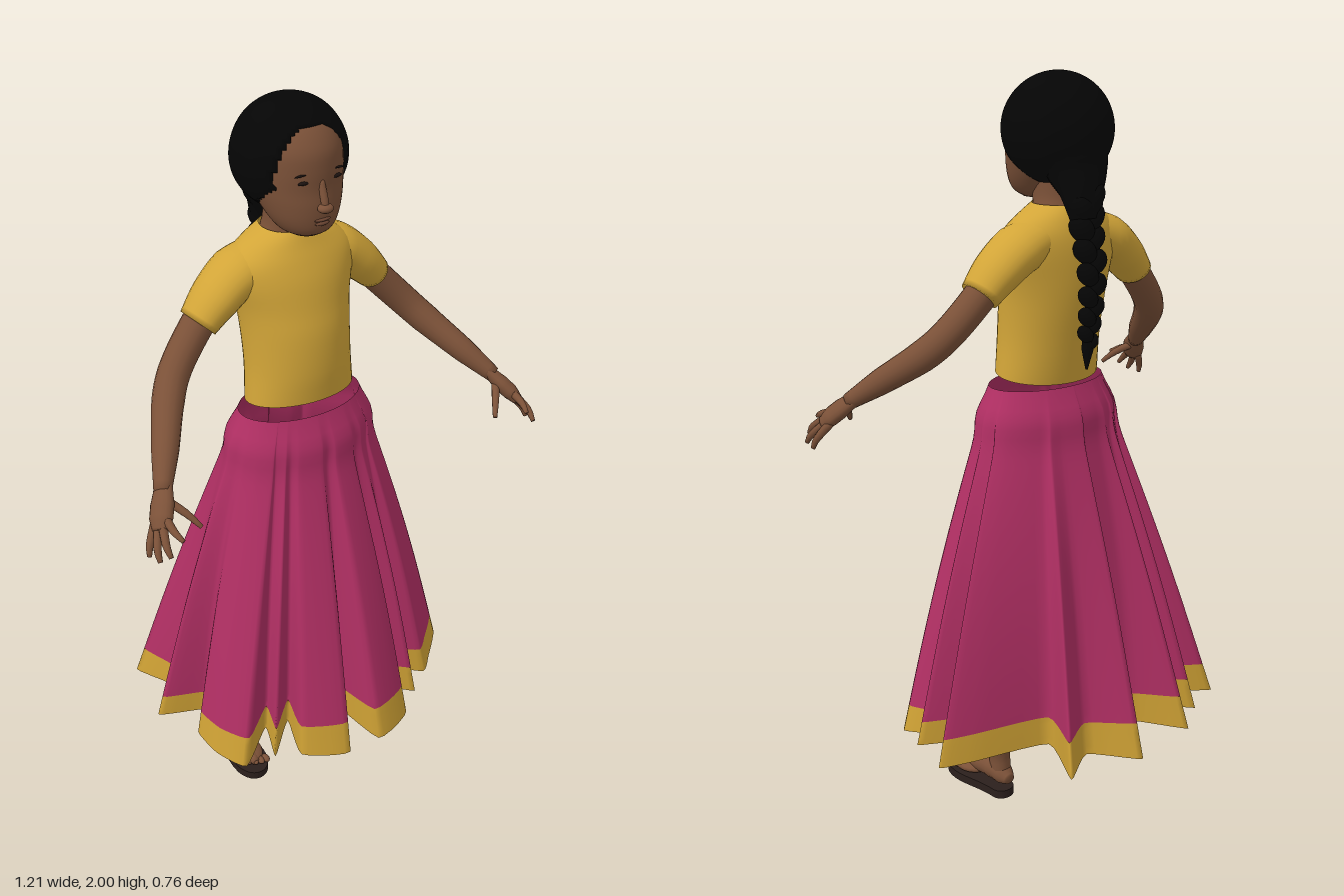
import * as THREE from 'three';

const mat = (name, color, double) => {
  const m = new THREE.MeshStandardMaterial({ color });
  m.name = name;
  if (double) m.side = THREE.DoubleSide;
  return m;
};
const V = (x, y, z) => new THREE.Vector3(x, y, z);

// Skin a stack of closed rings; rings run upward and turn from +x to +z.
function loft(rings, capStart, capEnd) {
  const n = rings[0].length, pos = [], idx = [];
  rings.forEach(r => r.forEach(p => pos.push(p.x, p.y, p.z)));
  for (let i = 0; i < rings.length - 1; i++) {
    for (let j = 0; j < n; j++) {
      const a = i * n + j, b = i * n + (j + 1) % n;
      idx.push(a, a + n, b, a + n, b + n, b);
    }
  }
  const cap = (i, flip) => {
    const c = V(0, 0, 0);
    rings[i].forEach(p => c.addScaledVector(p, 1 / n));
    const k = pos.length / 3;
    pos.push(c.x, c.y, c.z);
    for (let j = 0; j < n; j++) {
      const a = i * n + j, b = i * n + (j + 1) % n;
      if (flip) idx.push(k, a, b); else idx.push(k, b, a);
    }
  };
  if (capStart) cap(0, true);
  if (capEnd) cap(rings.length - 1, false);
  const g = new THREE.BufferGeometry();
  g.setAttribute('position', new THREE.Float32BufferAttribute(pos, 3));
  g.setIndex(idx);
  g.computeVertexNormals();
  return g;
}

// Upright body from rows [y, half width, front z, back z], smoothed between rows.
function profile(rows, capStart, capEnd, shape = p => p, n = 40, sub = 4) {
  const A = new THREE.CatmullRomCurve3(rows.map(r => V(r[0], r[1], 0)), false, 'catmullrom');
  const B = new THREE.CatmullRomCurve3(rows.map(r => V(r[2], r[3], 0)), false, 'catmullrom');
  const rings = [], steps = (rows.length - 1) * sub;
  for (let i = 0; i <= steps; i++) {
    const a = A.getPoint(i / steps), b = B.getPoint(i / steps), ring = [];
    for (let j = 0; j < n; j++) {
      const t = j / n * Math.PI * 2;
      ring.push(shape(V(Math.cos(t) * a.y, a.x, (b.x + b.y) / 2 + Math.sin(t) * (b.x - b.y) / 2)));
    }
    rings.push(ring);
  }
  return loft(rings, capStart, capEnd);
}

// Tapered limb through rows [x, y, z, radius]; k widens it along ref.
function limb(rows, side, ref = V(0, 0, 1), k = 1, n = 16, sub = 5) {
  const curve = new THREE.CatmullRomCurve3(rows.map(r => V(r[0] * side, r[1], r[2])), false, 'catmullrom');
  const rings = [], steps = (rows.length - 1) * sub;
  for (let i = 0; i <= steps; i++) {
    const t = i / steps, f = t * (rows.length - 1), q = Math.min(Math.floor(f), rows.length - 2);
    const r = THREE.MathUtils.lerp(rows[q][3], rows[q + 1][3], f - q);
    const p = curve.getPoint(t), T = curve.getTangent(t);
    const U = ref.clone().addScaledVector(T, -T.dot(ref)).normalize();
    const W = U.clone().cross(T);
    rings.push(Array.from({ length: n }, (_, j) => {
      const a = j / n * Math.PI * 2;
      return p.clone().addScaledVector(U, Math.cos(a) * r * k).addScaledVector(W, Math.sin(a) * r);
    }));
  }
  return loft(rings, true, true);
}

export function createModel() {
  const skin = mat('skin', 0x7b5138), lip = mat('lips', 0x6b4532), dark = mat('eyes', 0x1c1310);
  const hairMat = mat('hair', 0x050505), soleMat = mat('sole', 0x2b1f1c);
  const yellow = mat('blouse yellow', 0xd2a538, true), pink = mat('skirt pink', 0xb02f63, true);
  const gold = mat('hem gold', 0xcda034, true);
  const model = new THREE.Group();
  const add = (name, geo, m) => {
    const o = new THREE.Mesh(geo, m);
    o.name = name;
    model.add(o);
    return o;
  };
  const blob = (name, m, p, s, rz = 0) => {
    const o = add(name, new THREE.SphereGeometry(1, 20, 14), m);
    o.position.set(...p);
    o.scale.set(...s);
    o.rotation.z = rz;
    return o;
  };

  // Pleated skirt: a rounded cone whose folds deepen toward the hem outline (x, z)
  const hem = [.49, 0, .42, .03, .45, .12, .37, .2, .32, .24, .23, .18, .25, .29, .14, .2, .18, .34, .05, .38,
    0, .2, -.05, .38, -.18, .32, -.15, .2, -.25, .29, -.22, .19, -.34, .28, -.39, .2, -.4, .11, -.34, .05,
    -.47, 0, -.36, -.08, -.41, -.25, -.27, -.17, -.3, -.29, -.17, -.18, -.21, -.35, -.1, -.24, -.01, -.22,
    0, -.38, .12, -.28, .23, -.34, .18, -.19, .4, -.14, .5, -.11, .36, -.06];
  const pts = [];
  for (let i = 0; i < hem.length; i += 2) pts.push(V(hem[i], 0, hem[i + 1]));
  const hemCurve = new THREE.CatmullRomCurve3(pts, true, 'catmullrom', 0.25);
  const N = pts.length * 5;
  const outline = Array.from({ length: N }, (_, j) => hemCurve.getPoint(j / N));
  const skirtPoint = (h, y, bottom) => {
    const t = (1.175 - y) / (1.175 - bottom), a = Math.atan2(h.z / 0.36, h.x / 0.48);
    const c = Math.cos(a), s = Math.sin(a), fold = t ** 1.35;
    const bulge = 0.014 * Math.exp(-(((t - 0.08) / 0.05) ** 2)) + 0.018 * Math.sin(Math.PI * t);
    return V(c * (0.18 + 0.25 * t + bulge) + (h.x - c * 0.43) * fold, y,
      0.03 * (1 - t) + s * (0.11 + 0.2 * t + bulge) + (h.z - s * 0.31) * fold);
  };
  // One ring between two heights; the border top stays almost level while the hem dips front and back
  const ring = (low, high, f) => outline.map(h => {
    const dip = Math.abs(h.z) / 0.38, level = { waist: 1.175, border: 0.292 - 0.025 * dip, hem: 0.23 - 0.062 * dip };
    return skirtPoint(h, level[low] + (level[high] - level[low]) * f, level.hem);
  });
  const band = (low, high, n) => loft(Array.from({ length: n + 1 }, (_, i) => ring(low, high, i / n)));
  add('skirt', band('border', 'waist', 36), pink);
  add('skirtHem', band('hem', 'border', 4), gold);

  // Short blouse, open at the waist with its hem dipping to the back
  add('blouse', profile([
    [1.197, .157, .14, -.085], [1.3, .149, .145, -.106], [1.4, .151, .138, -.125], [1.47, .16, .122, -.133],
    [1.54, .178, .104, -.134], [1.59, .178, .084, -.128], [1.63, .138, .064, -.116], [1.665, .075, .048, -.1]
  ], false, false, p => { p.y += p.z * 0.14 * Math.max(0, 1 - (p.y - 1.197) / 0.1); return p; }), yellow);

  // Neck and head
  add('neck', profile([[1.6, .085, .05, -.1], [1.655, .072, .045, -.096], [1.69, .066, .05, -.09],
    [1.76, .066, .05, -.09]], true, true), skin);
  add('head', profile([
    [1.672, .04, .1, .02], [1.69, .07, .125, -.02], [1.72, .092, .133, -.05], [1.76, .109, .134, -.09],
    [1.8, .12, .13, -.12], [1.85, .123, .13, -.14], [1.9, .118, .122, -.14], [1.95, .093, .086, -.12],
    [1.98, .04, .03, -.08]
  ], true, true), skin);
  add('noseBridge', limb([[0, 1.757, .143, .01], [0, 1.78, .139, .01], [0, 1.825, .122, .009]], 1), skin);
  blob('noseTip', skin, [0, 1.76, .144], [.021, .012, .018]);
  blob('upperLip', lip, [0, 1.726, .13], [.024, .005, .009]);
  blob('lowerLip', lip, [0, 1.716, .129], [.021, .006, .009]);
  for (const s of [1, -1]) {
    blob('eye', dark, [s * .046, 1.826, .119], [.018, .005, .006]);
    blob('eyebrow', dark, [s * .05, 1.846, .117], [.022, .0025, .005], -s * .08);
  }

  // Hair cap: a sphere whose face opening is tucked inside the head
  const cap = new THREE.SphereGeometry(1, 72, 56), cp = cap.attributes.position;
  for (let i = 0; i < cp.count; i++) {
    const wave = 1 + 0.012 * Math.sin(9 * Math.atan2(cp.getX(i), cp.getZ(i))) * (1 - cp.getY(i) ** 2);
    const x = cp.getX(i) * 0.15 * wave, y = 1.853 + cp.getY(i) * 0.147, z = -0.02 + cp.getZ(i) * 0.145;
    const brow = y > 1.82 && z > 0 && (x / 0.108) ** 2 + ((y - 1.82) / 0.13) ** 2 < 1;
    const cheek = y <= 1.82 && z > Math.max(-0.03, (y - 1.72) * 1.15 - 0.02);
    const k = brow || cheek ? 0.72 : 1;
    cp.setXYZ(i, x * k, 1.83 + (y - 1.83) * k, z * k);
  }
  cap.computeVertexNormals();
  add('hair', cap, hairMat);
  add('hairGather', limb([[.01, 1.63, -.142, .034], [.008, 1.7, -.122, .048], [0, 1.76, -.09, .07],
    [0, 1.84, -.07, .085]], 1, V(1, 0, 0), 1.35), hairMat);

  // Braid: alternating slanted strands down the back, ending in a tuft
  const braid = new THREE.CatmullRomCurve3([V(.01, 1.69, -.137), V(.01, 1.6, -.145), V(.01, 1.5, -.165),
    V(.01, 1.4, -.163), V(.01, 1.32, -.152), V(.01, 1.24, -.148)]);
  for (let i = 0; i < 15; i++) {
    const t = i / 17, p = braid.getPoint(t), r = 0.042 * (1 - 0.55 * t), s = i % 2 ? 1 : -1;
    blob('braidStrand', hairMat, [p.x + s * r * 0.45, p.y, p.z], [r * 0.8, r * 1.05, r * 0.92], -s * 0.6);
  }
  add('braidTuft', limb([[.01, 1.235, -.147, .003], [.01, 1.29, -.15, .016], [.01, 1.34, -.154, .015]], 1), hairMat);

  for (const s of [1, -1]) {
    // Sleeve and arm
    add('sleeve', limb([[.06, 1.59, -.035, .055], [.15, 1.556, -.035, .064], [.218, 1.505, -.03, .058],
      [.272, 1.45, -.026, .047]], s, V(0, 0, 1), 1.28, 24), yellow);
    add('arm', limb([[.22, 1.505, -.03, .045], [.28, 1.44, -.025, .043], [.355, 1.358, 0, .042],
      [.405, 1.3, .045, .041], [.47, 1.225, .14, .034], [.522, 1.165, .215, .022]], s, V(0, 0, 1), 1.05), skin);
    // Hand with four fingers and a thumb
    add('palm', limb([[.5, 1.19, .185, .014], [.535, 1.143, .235, .022], [.552, 1.12, .258, .022],
      [.565, 1.1, .277, .015]], s, V(s * .45, -.35, -.6), 1.5), skin);
    const fingers = [
      [[.545, 1.13, .26], [.548, 1.115, .31], [.54, 1.1, .345]],
      [[.555, 1.118, .268], [.572, 1.085, .315], [.572, 1.06, .34]],
      [[.562, 1.108, .26], [.588, 1.068, .3], [.592, 1.042, .32]],
      [[.562, 1.108, .245], [.592, 1.065, .268], [.6, 1.037, .278]],
      [[.525, 1.15, .225], [.49, 1.12, .27], [.465, 1.088, .302]]
    ];
    for (const f of fingers) {
      add('finger', limb(f.map((p, i) => [...p, [.012, .01, .006][i]]), s, V(0, 1, 0.2), 1, 10, 3), skin);
    }
    // Leg, foot and flat sandal sole
    add('leg', limb([[.224, .05, -.03, .03], [.224, .11, -.025, .03], [.227, .2, -.02, .043],
      [.222, .34, -.015, .052], [.2, .5, .0, .052], [.155, .75, .02, .065], [.11, 1.0, .02, .07]], s), skin);
    add('foot', limb([[.224, .05, -.07, .015], [.224, .056, -.045, .028], [.225, .068, -.005, .036],
      [.229, .06, .05, .029], [.233, .046, .11, .02], [.234, .038, .155, .011]], s, V(1, 0, 0), 1.05), skin);
    blob('ballOfFoot', skin, [s * .232, .04, .095], [.046, .02, .06]);
    for (let i = 0; i < 5; i++) {
      blob('toe', skin, [s * (.2 + i * .0165), .036, .155 - i * i * .0022], [.011 - i * .001, .01, .016]);
    }
    const outlineSole = new THREE.Shape();
    outlineSole.moveTo(-.033, -.045);
    outlineSole.bezierCurveTo(-.033, -.086, .033, -.086, .033, -.045);
    outlineSole.bezierCurveTo(.034, .02, .054, .06, .052, .11);
    outlineSole.bezierCurveTo(.045, .21, -.052, .21, -.05, .11);
    outlineSole.bezierCurveTo(-.05, .06, -.032, .02, -.033, -.045);
    const sole = add('sole', new THREE.ExtrudeGeometry(outlineSole, { depth: 0.024, bevelEnabled: false, curveSegments: 14 }), soleMat);
    sole.rotation.x = Math.PI / 2;
    sole.position.set(s * .232, .024, 0);
  }
  return model;
}
